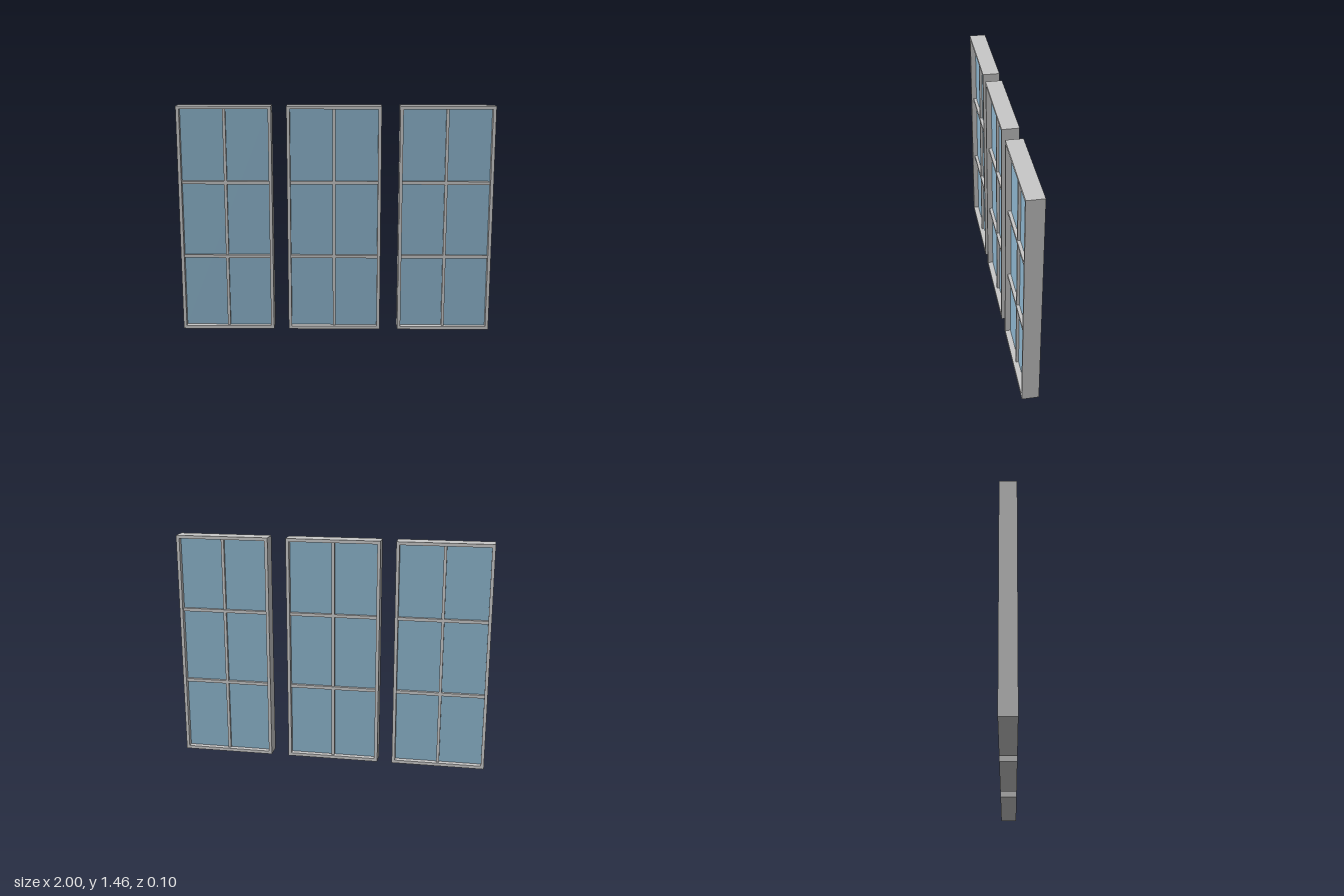
import * as THREE from 'three';

const W = 0.596, H = 1.46, D = 0.105, B = 0.02;

export function createModel() {
  const model = new THREE.Group();
  model.name = 'windowSet';
  const frameMat = new THREE.MeshStandardMaterial({ color: 0xc8c8c8 });
  frameMat.name = 'frameGrey';
  const glassMat = new THREE.MeshStandardMaterial({ color: 0x8cb4cc });
  glassMat.name = 'glassBlue';

  const add = (parent, name, geometry, material, x, y, z = 0) => {
    const mesh = new THREE.Mesh(geometry, material);
    mesh.name = name;
    mesh.position.set(x, y, z);
    parent.add(mesh);
  };

  // Outer frame: a rectangle with a rectangular opening
  const outline = new THREE.Shape([
    new THREE.Vector2(-W / 2, 0), new THREE.Vector2(W / 2, 0),
    new THREE.Vector2(W / 2, H), new THREE.Vector2(-W / 2, H),
  ]);
  outline.holes.push(new THREE.Path([
    new THREE.Vector2(-W / 2 + B, B), new THREE.Vector2(-W / 2 + B, H - B),
    new THREE.Vector2(W / 2 - B, H - B), new THREE.Vector2(W / 2 - B, B),
  ]));
  const frameGeo = new THREE.ExtrudeGeometry(outline, { depth: D, bevelEnabled: false });
  frameGeo.translate(0, 0, -D / 2);

  // Glass pane and glazing bars, which stand proud on both faces
  const glassGeo = new THREE.BoxGeometry(W - 2 * B, H - 2 * B, 0.036);
  const uprightGeo = new THREE.BoxGeometry(0.018, H - 2 * B, 0.07);
  const crossGeo = new THREE.BoxGeometry(W - 2 * B, 0.02, 0.076);

  for (const x of [-0.702, -0.01, 0.702]) {
    const unit = new THREE.Group();
    unit.name = 'window';
    unit.position.x = x;
    add(unit, 'frame', frameGeo, frameMat, 0, 0);
    add(unit, 'glass', glassGeo, glassMat, 0, H / 2);
    add(unit, 'uprightBar', uprightGeo, frameMat, 0, H / 2);
    for (const y of [0.488, 0.972]) add(unit, 'crossBar', crossGeo, frameMat, 0, y);
    model.add(unit);
  }
  return model;
}
